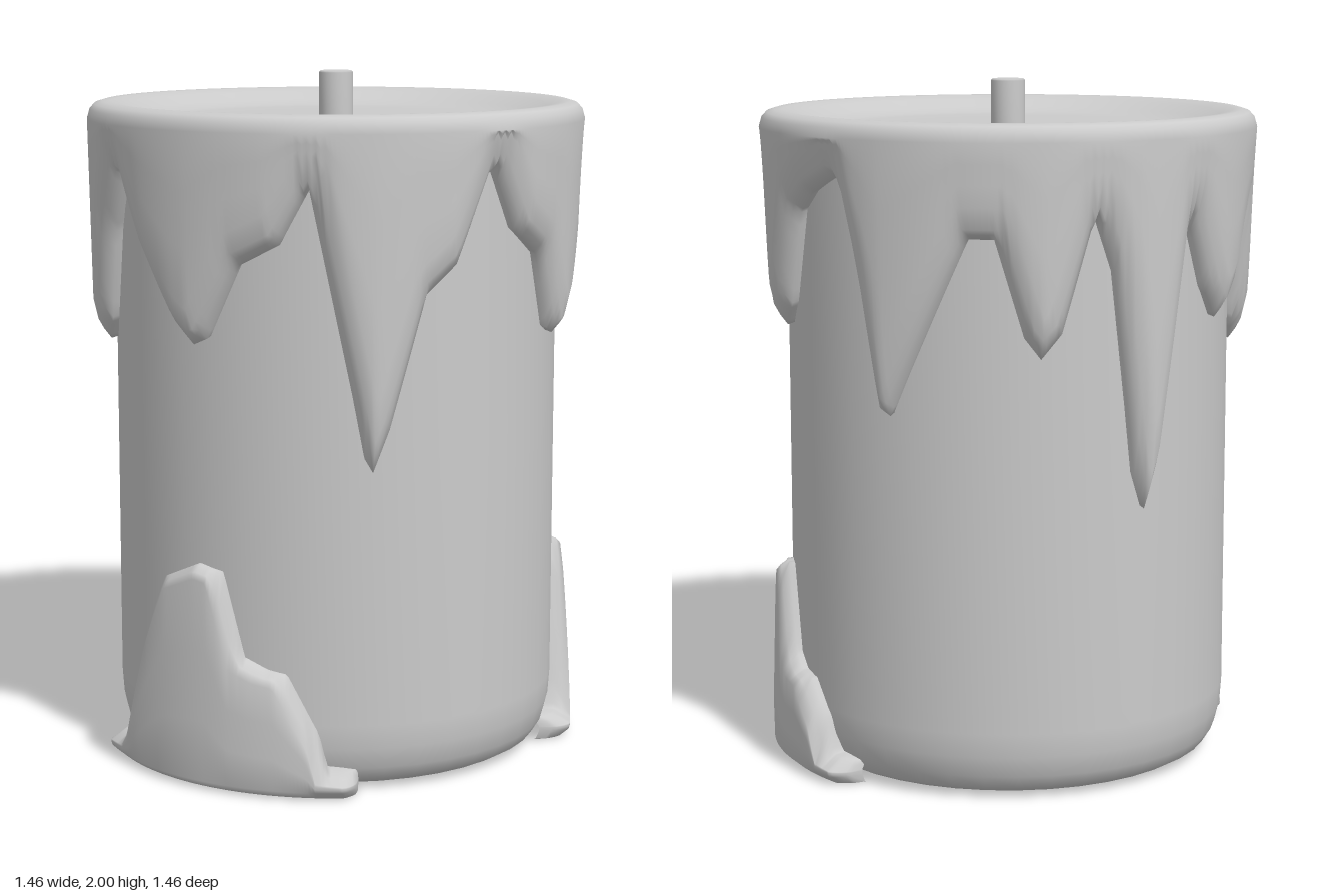
import * as THREE from 'three';

const material = new THREE.MeshStandardMaterial({ color: 0xcccccc });
const clamp = THREE.MathUtils.clamp;

// Skirt lower edge: angle in degrees (0 = front, 90 = +x), height
const DRIPS = [
  [-13, 0.93], [-9, 1.05], [0, 1.42], [8, 1.5], [18, 1.77], [26, 1.58], [36, 1.5], [43, 1.28], [47, 1.26],
  [53, 1.33], [60, 1.5], [67, 1.83], [72, 1.77], [82, 1.34], [86, 1.3], [91, 1.37], [98, 1.64], [104, 1.7],
  [115, 1.76], [121, 1.5], [127, 1.12], [130, 1.1], [136, 1.25], [150, 1.6], [156, 1.6], [163, 1.33],
  [167, 1.27], [172, 1.34], [180, 1.66], [185, 1.5], [191, 0.93], [194, 0.83], [198, 0.98], [207, 1.66],
  [215, 1.43], [221, 1.34], [228, 1.42], [235, 1.58], [242, 1.63], [250, 1.3], [256, 1.22], [261, 1.29],
  [267, 1.55], [275, 1.74], [285, 1.52], [296, 1.33], [302, 1.27], [306, 1.29], [315, 1.5], [325, 1.56],
  [332, 1.71], [342, 1.15], [345, 0.97], [347, 0.93],
];

// Upper outlines of the two wax spills at the base
const SPILLS = {
  leftSpill: [
    [56, 0.07], [63, 0.08], [65, 0.14], [73, 0.5], [76, 0.58], [82, 0.58], [90, 0.33], [94, 0.29], [100, 0.28],
    [107, 0.18], [110, 0.08], [117, 0.07],
  ],
  rightSpill: [
    [-95, 0.07], [-86, 0.08], [-83, 0.12], [-76, 0.4], [-69, 0.59], [-58, 0.645], [-51, 0.63], [-45, 0.39],
    [-39, 0.36], [-34, 0.35], [-26, 0.18], [-24, 0.08], [-16, 0.07],
  ],
};

// Height of an outline at an angle
function outline(table, a) {
  if (a <= table[0][0]) return table[0][1];
  for (let i = 1; i < table.length; i++) {
    const [a0, y0] = table[i - 1];
    const [a1, y1] = table[i];
    if (a <= a1) return y0 + ((y1 - y0) * (a - a0)) / (a1 - a0);
  }
  return table[table.length - 1][1];
}

// Skin over [radius, height] profiles, ordered top to bottom, one per angle
function loft(name, profileAt, start, end, steps, closed = false) {
  const positions = [];
  const index = [];
  const columns = closed ? steps : steps + 1;
  let rows = 0;
  for (let i = 0; i < columns; i++) {
    const a = start + ((end - start) * i) / steps;
    const t = THREE.MathUtils.degToRad(a);
    const profile = profileAt(a);
    rows = profile.length;
    for (const [r, y] of profile) positions.push(r * Math.sin(t), y, r * Math.cos(t));
  }
  for (let i = 0; i < steps; i++) {
    for (let j = 0; j < rows - 1; j++) {
      const a = i * rows + j;
      const d = ((i + 1) % columns) * rows + j;
      index.push(a, a + 1, d + 1, a, d + 1, d);
    }
  }
  const geometry = new THREE.BufferGeometry();
  geometry.setAttribute('position', new THREE.Float32BufferAttribute(positions, 3));
  geometry.setIndex(index);
  geometry.computeVertexNormals();
  const mesh = new THREE.Mesh(geometry, material);
  mesh.name = name;
  return mesh;
}

// Dished top, rounded rim and dripping skirt with a rounded lip
function skirtProfile(a) {
  const edgeAt = (x) => outline(DRIPS, THREE.MathUtils.euclideanModulo(x + 13, 360) - 13);
  const edge = edgeAt(a);
  const lip = Math.min(Math.max(edge, edgeAt(a - 2), edgeAt(a + 2)) + 0.03, 1.855);
  const shoulder = Math.min(Math.max(edgeAt(a - 4), edgeAt(a + 4), lip) + 0.06, 1.86);
  const profile = [
    [0, 1.865], [0.3, 1.865], [0.47, 1.865], [0.52, 1.869], [0.57, 1.883], [0.62, 1.903], [0.66, 1.914],
    [0.685, 1.915], [0.708, 1.908], [0.722, 1.893], [0.73, 1.865],
  ];
  for (const k of [0.33, 0.66, 1]) profile.push([0.73 - 0.01 * k, 1.865 + (shoulder - 1.865) * k]);
  profile.push([0.706, lip], [0.69, (lip + edge) / 2], [0.668, edge], [0.635, edge + 0.01]);
  return profile;
}

// Wax run that is thin at its outline and thick at its foot
function makeSpill(name, table) {
  const start = table[0][0];
  const end = table[table.length - 1][0];
  return loft(name, (a) => {
    const top = outline(table, a);
    const near = Math.min(top, outline(table, a - 2.5), outline(table, a + 2.5));
    const lip = Math.max(near - 0.03, 0.035);
    const swell = Math.sqrt(clamp(Math.min(a - start, end - a) / 4, 0, 1));
    const profile = [[0.62, top], [0.665, top - 0.003], [0.688, (top + lip) / 2]];
    for (const k of [0, 0.35, 0.7]) {
      const y = lip + (0.03 - lip) * k;
      profile.push([0.715 - 0.03 * clamp(y - 0.1, 0, 1), y]);
    }
    profile.push([0.712, 0.025], [0.685, 0.002], [0.66, 0], [0.56, 0.002]);
    return profile.map(([r, y]) => [0.58 + (r - 0.58) * (r > 0.6 ? 0.35 + 0.65 * swell : 1), y]);
  }, start, end, 90);
}

export function createModel() {
  const group = new THREE.Group();
  group.name = 'candle';

  // Wax column with a rounded foot
  const column = [
    [0.65, 1.86], [0.65, 1], [0.65, 0.2], [0.645, 0.13], [0.63, 0.07], [0.605, 0.03], [0.575, 0.013], [0.53, 0.01],
    [0, 0.01],
  ];
  group.add(loft('waxColumn', () => column, 0, 360, 40, true));

  group.add(loft('dripSkirt', skirtProfile, 0, 360, 360, true));

  for (const [name, table] of Object.entries(SPILLS)) group.add(makeSpill(name, table));

  // Wick
  const wick = [[0, 2], [0.046, 2], [0.05, 1.995], [0.05, 1.84]];
  group.add(loft('wick', () => wick, 0, 360, 20, true));

  return group;
}
